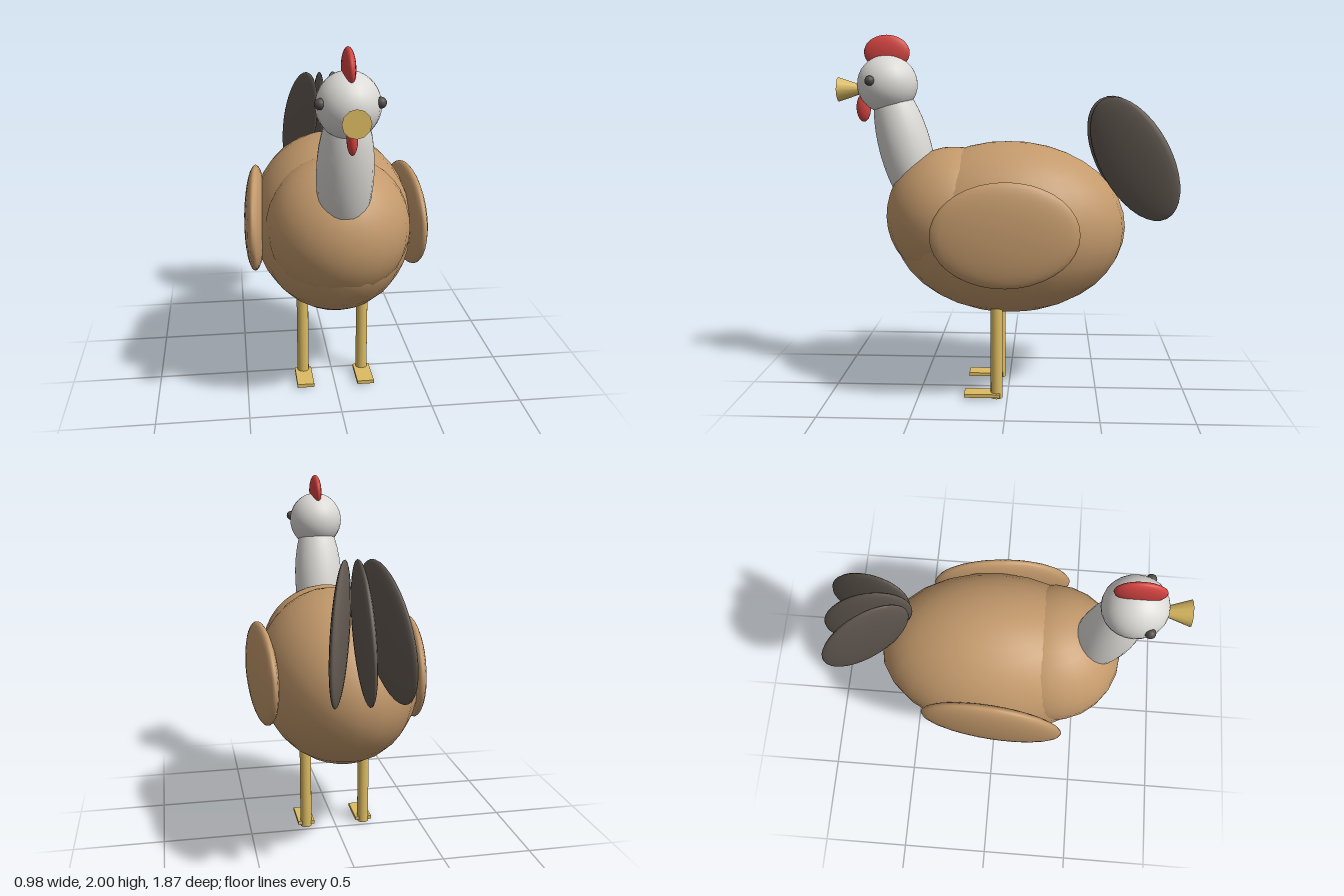
import * as THREE from 'three';

export function createModel() {
  const hen = new THREE.Group();
  hen.name = 'hen';

  const material = (name, color) => {
    const m = new THREE.MeshStandardMaterial({ color });
    m.name = name;
    return m;
  };
  const tan = material('tan plumage', 0xc49a6c);
  const white = material('white plumage', 0xdcdad6);
  const red = material('red skin', 0xd64541);
  const yellow = material('yellow horn', 0xdcbb62);
  const dark = material('dark feather', 0x625951);
  const black = material('eye grey', 0x504c48);

  const add = (name, geometry, mat, position) => {
    const mesh = new THREE.Mesh(geometry, mat);
    mesh.name = name;
    mesh.position.set(...position);
    hen.add(mesh);
    return mesh;
  };
  // Sphere stretched to three radii
  const ellipsoid = (name, mat, position, radii, w = 24, h = 18) => {
    const mesh = add(name, new THREE.SphereGeometry(1, w, h), mat, position);
    mesh.scale.set(...radii);
    return mesh;
  };

  // Trunk
  ellipsoid('body', tan, [0, 0.943, 0], [0.44, 0.48, 0.65]);
  ellipsoid('chest', tan, [0, 1.01, 0.305], [0.38, 0.38, 0.38]);
  ellipsoid('neck', white, [0, 1.38, 0.573], [0.142, 0.4, 0.145]).rotation.x = 0.25;

  // Head
  ellipsoid('head', white, [0, 1.733, 0.667], [0.155, 0.16, 0.166]);
  ellipsoid('comb', red, [0, 1.905, 0.667], [0.031, 0.095, 0.126]);
  ellipsoid('wattle', red, [0, 1.605, 0.803], [0.026, 0.077, 0.04]);

  // Beak flares towards the front
  const beak = new THREE.ConeGeometry(0.067, 0.2, 12);
  beak.rotateX(-Math.PI / 2);
  add('beak', beak, yellow, [0, 1.705, 0.84]);

  for (const side of [-1, 1]) {
    const label = side > 0 ? 'left' : 'right';
    ellipsoid(label + 'Eye', black, [side * 0.14, 1.755, 0.738], [0.027, 0.027, 0.027], 16, 12);
    ellipsoid(label + 'Wing', tan, [side * 0.422, 0.97, 0], [0.06, 0.28, 0.39]).rotation.y = side * 0.08;
    add(label + 'Leg', new THREE.CylinderGeometry(0.033, 0.033, 0.54, 16), yellow, [side * 0.172, 0.27, 0.06]);
    add(label + 'Foot', new THREE.BoxGeometry(0.095, 0.02, 0.2), yellow, [side * 0.172, 0.022, 0.14]);
  }

  // Tail fan
  for (const i of [-1, 0, 1]) {
    const feather = ellipsoid('tailFeather' + (i + 2), dark,
      [i * 0.115, 1.34, -0.683], [0.037, 0.365, 0.199]);
    feather.rotation.set(0.53, -i * 0.35, 0, 'YXZ');
  }

  return hen;
}
